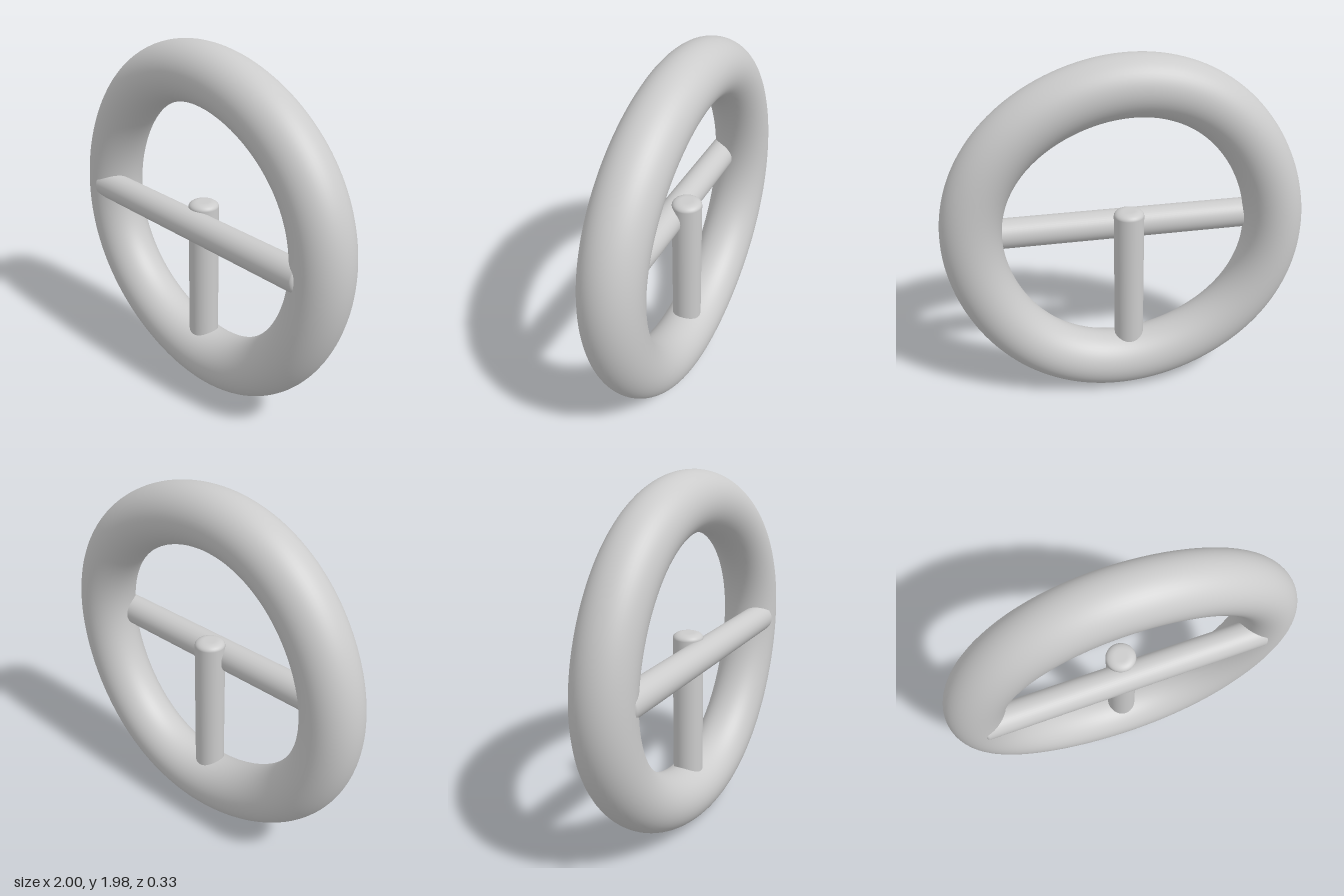
import * as THREE from 'three';

const material = new THREE.MeshStandardMaterial({ color: 0xcccccc });

// Closed, very slightly skewed loop that the rim tube follows
class RimCurve extends THREE.Curve {
  getPoint(t, target = new THREE.Vector3()) {
    const a = t * Math.PI * 2;
    const r = 0.833 - 0.008 * Math.sin(4 * a);
    return target.set(r * 1.004 * Math.sin(a), 0.992 + r * 0.996 * Math.cos(a), -0.005);
  }
}

// Round rod along y, centred, with softened ends
function rod(name, radius, length, soft) {
  const h = length / 2;
  const profile = [new THREE.Vector2(0, -h)];
  for (const end of [-1, 1]) {
    for (let i = 0; i <= 8; i++) {
      const a = (end < 0 ? i : 8 - i) / 8 * Math.PI / 2;
      profile.push(new THREE.Vector2(
        radius - soft * 1.6 * (1 - Math.sin(a)),
        end * (h - soft * (1 - Math.cos(a)))));
    }
  }
  profile.push(new THREE.Vector2(0, h));
  const mesh = new THREE.Mesh(new THREE.LatheGeometry(profile, 48), material);
  mesh.name = name;
  return mesh;
}

export function createModel() {
  const group = new THREE.Group();
  group.name = 'buckle';

  // Thick round rim
  const rim = new THREE.Mesh(new THREE.TubeGeometry(new RimCurve(), 160, 0.162, 48, true), material);
  rim.name = 'rim';
  group.add(rim);

  // Crossbar, lying towards the front of the rim
  const crossbar = rod('crossbar', 0.083, 1.63, 0.025);
  crossbar.rotation.z = -Math.PI / 2;
  crossbar.position.set(-0.015, 1.005, 0.082);
  group.add(crossbar);

  // Upright post from the bottom of the rim to just above the crossbar
  const post = rod('post', 0.083, 0.96, 0.03);
  post.position.set(-0.013, 0.64, -0.003);
  group.add(post);

  return group;
}
